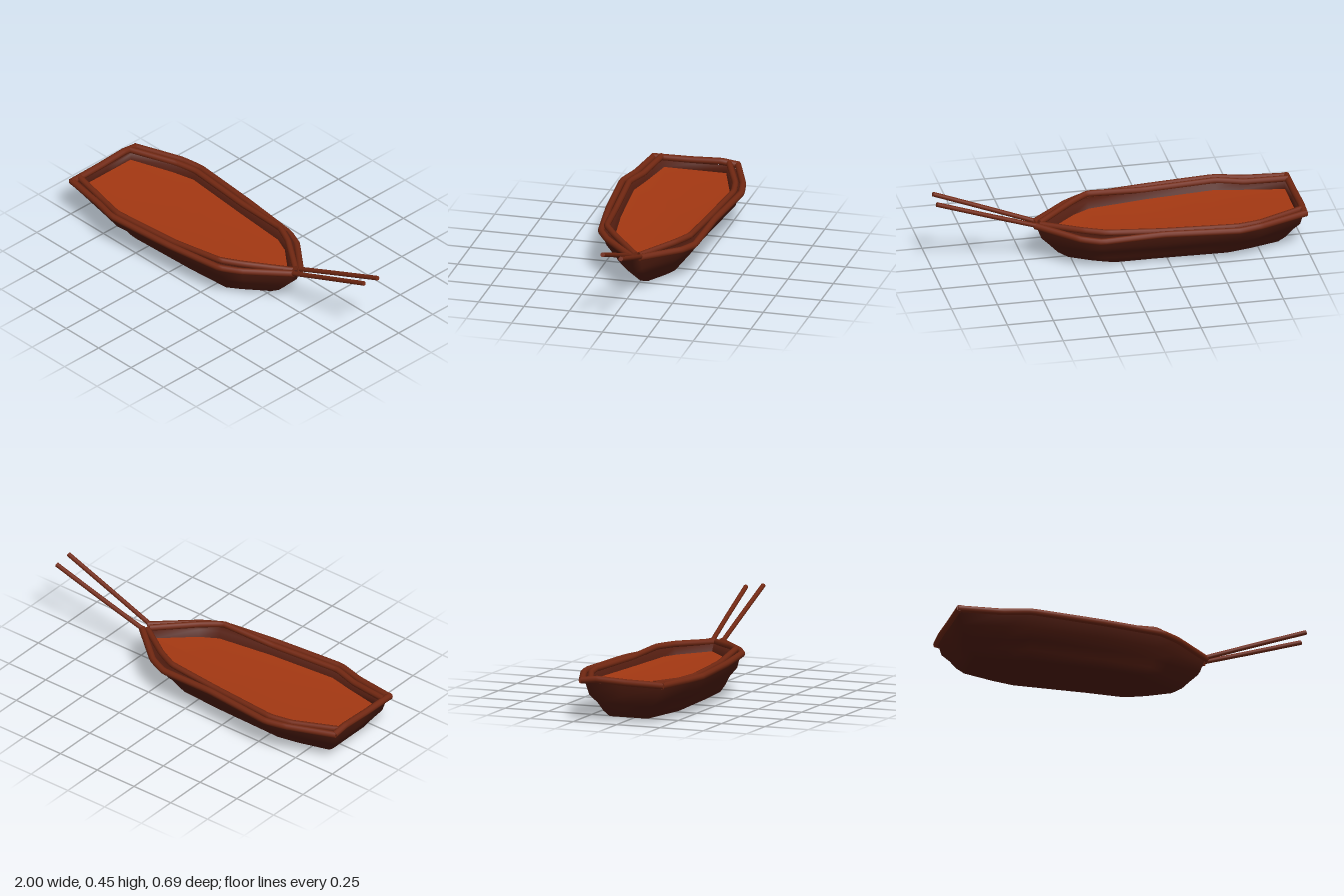
import * as THREE from 'three';

const woodMat = new THREE.MeshStandardMaterial({ color: 0x722812 });
const hullMat = new THREE.MeshStandardMaterial({ color: 0x521d10, side: THREE.DoubleSide });
const floorMat = new THREE.MeshStandardMaterial({ color: 0xa43812, side: THREE.DoubleSide });

// Plan outlines [x, z], running stern -> back side -> bow -> front side -> stern
const rimPlan = [[-0.98, 0.02], [-0.98, -0.19], [-0.74, -0.29], [-0.6, -0.325], [-0.2, -0.29], [0.13, -0.265],
  [0.24, -0.22], [0.44, -0.06], [0.44, -0.01], [0.24, 0.17], [0.13, 0.235], [-0.2, 0.285], [-0.6, 0.32],
  [-0.74, 0.29], [-0.98, 0.24]];
const keelPlan = [[-0.86, 0], [-0.86, -0.1], [-0.69, -0.15], [-0.57, -0.175], [-0.17, -0.165], [0.08, -0.15],
  [0.15, -0.12], [0.27, -0.05], [0.27, -0.01], [0.15, 0.09], [0.08, 0.14], [-0.17, 0.16], [-0.57, 0.175],
  [-0.69, 0.15], [-0.86, 0.12]];

const center = [-0.28, -0.01];
const centerPlan = rimPlan.map(() => center);
const blend = (a, b, tx, tz = tx) => a.map((p, i) =>
  [p[0] + (b[i][0] - p[0]) * tx, p[1] + (b[i][1] - p[1]) * tz]);
const ring = (plan, y) => plan.map(([x, z]) => [x, y, z]);

// Move an outline inwards along its corner bisectors, keeping the stern edge close to the end
function inset(plan, d) {
  const n = plan.length;
  const normal = (a, b) => new THREE.Vector2(a[1] - b[1], b[0] - a[0]).normalize();
  return plan.map((p, i) => {
    const n1 = normal(plan[(i + n - 1) % n], p), n2 = normal(p, plan[(i + 1) % n]);
    const k = d / Math.max(0.6, 1 + n1.dot(n2));
    return [p[0] < -0.9 ? -0.96 : p[0] + (n1.x + n2.x) * k, p[1] + (n1.y + n2.y) * k];
  });
}

// Skin a stack of closed rings
function loft(name, rings, mat) {
  const n = rings[0].length, pos = rings.flat(2), idx = [];
  for (let r = 0; r < rings.length - 1; r++) {
    for (let i = 0; i < n; i++) {
      const j = (i + 1) % n, a = r * n, b = a + n;
      idx.push(a + i, b + i, a + j, a + j, b + i, b + j);
    }
  }
  const g = new THREE.BufferGeometry();
  g.setAttribute('position', new THREE.Float32BufferAttribute(pos, 3));
  g.setIndex(idx);
  g.computeVertexNormals();
  const m = new THREE.Mesh(g, mat);
  m.name = name;
  return m;
}

// Round rod along a nearly straight-edged path, with closed ends
function rod(name, pts, r) {
  const v = pts.map(p => new THREE.Vector3(...p));
  const group = new THREE.Group();
  group.name = name;
  const curve = new THREE.CatmullRomCurve3(v, false, 'catmullrom', 0.08);
  group.add(new THREE.Mesh(new THREE.TubeGeometry(curve, v.length * 8, r, 10), woodMat));
  for (const [t, s] of [[0, -1], [1, 1]]) {
    const cap = new THREE.Mesh(new THREE.CircleGeometry(r, 10), woodMat);
    cap.position.copy(curve.getPoint(t));
    cap.lookAt(cap.position.clone().addScaledVector(curve.getTangent(t), s));
    group.add(cap);
  }
  return group;
}

export function createModel() {
  const model = new THREE.Group();
  model.name = 'boat';

  // Hull: bottom swelling towards the bow, then rounded sides
  const swelling = blend(keelPlan, centerPlan, 0.15)
    .map(([x, z]) => [x, x > -0.05 ? 0.002 + Math.max(0, z + 0.1) * 0.06 : 0.018, z]);
  const sides = [[0, 0, 0.02], [0.33, 0.22, 0.055], [0.58, 0.43, 0.1], [0.86, 0.83, 0.148], [1, 1, 0.215]]
    .map(([tx, tz, y]) => ring(blend(keelPlan, rimPlan, tx, tz), y));
  model.add(loft('hull', [ring(centerPlan, 0.016), swelling, ...sides], hullMat));

  // Low oval patch under the hull
  const patch = new THREE.Mesh(new THREE.SphereGeometry(1, 24, 12), hullMat);
  patch.name = 'bottomPatch';
  patch.scale.set(0.24, 0.01, 0.065);
  patch.position.set(-0.36, 0.021, 0.02);
  model.add(patch);

  // Narrow inner wall and shallow dished floor
  const inner = inset(rimPlan, 0.045), floorEdge = inset(rimPlan, 0.06);
  model.add(loft('innerWall', [ring(rimPlan, 0.215), ring(inner, 0.215), ring(floorEdge, 0.18)], hullMat));
  model.add(loft('floor', [ring(floorEdge, 0.18), ring(blend(floorEdge, centerPlan, 0.3), 0.172),
    ring(centerPlan, 0.17)], floorMat));

  // Outer gunwale rods, meeting at the bow
  model.add(rod('backOuterRail', [[-0.99, 0.225, -0.205], [-0.73, 0.222, -0.304], [-0.6, 0.218, -0.328],
    [-0.2, 0.22, -0.293], [0.13, 0.2, -0.272], [0.24, 0.205, -0.226], [0.45, 0.224, -0.055]], 0.018));
  model.add(rod('frontOuterRail', [[-0.99, 0.225, 0.255], [-0.75, 0.219, 0.29], [-0.6, 0.222, 0.325],
    [-0.2, 0.222, 0.291], [0.13, 0.224, 0.243], [0.24, 0.224, 0.178], [0.45, 0.224, -0.01]], 0.018));

  // Thinner inner rods with an uneven rise
  model.add(rod('backInnerRail', [[-0.98, 0.232, -0.16], [-0.73, 0.223, -0.262], [-0.6, 0.223, -0.287],
    [-0.2, 0.222, -0.255], [0.1, 0.235, -0.237], [0.22, 0.235, -0.182], [0.42, 0.225, -0.045]], 0.017));
  model.add(rod('frontInnerRail', [[-0.98, 0.233, 0.21], [-0.75, 0.217, 0.25], [-0.6, 0.223, 0.286],
    [-0.2, 0.224, 0.252], [0.11, 0.25, 0.217], [0.22, 0.243, 0.142], [0.42, 0.225, -0.025]], 0.017));

  // Stern bar across the end
  model.add(rod('sternRail', [[-0.981, 0.225, 0.265], [-0.981, 0.228, 0.05], [-0.981, 0.236, -0.12],
    [-0.981, 0.225, -0.21]], 0.019));

  // Two long poles rising from the bow
  model.add(rod('frontPole', [[0.43, 0.222, 0], [0.7, 0.328, 0], [0.995, 0.442, 0]], 0.0125));
  model.add(rod('backPole', [[0.43, 0.222, -0.058], [0.7, 0.32, -0.08], [0.995, 0.428, -0.1]], 0.0125));

  return model;
}
